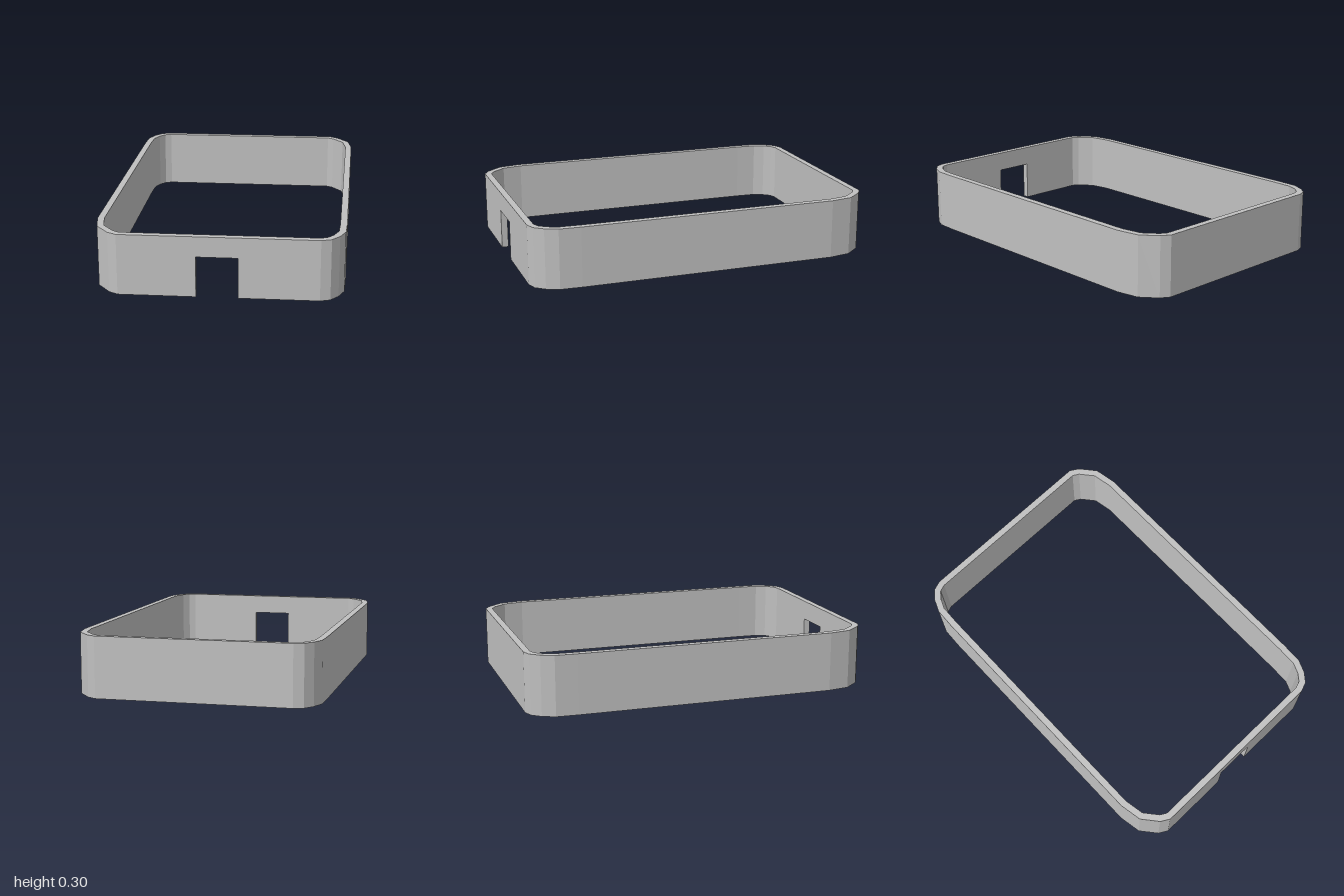
import * as THREE from 'three';

const HEIGHT = 0.3, NOTCH = 0.2, WALL = 0.033;

// Inward offset of an open path of [x, z] points, mitred at the bends
function inset(path, d) {
  const normals = path.slice(1).map(([x, z], i) => {
    const dx = x - path[i][0], dz = z - path[i][1], l = Math.hypot(dx, dz);
    return [-dz / l, dx / l];
  });
  return path.map(([x, z], i) => {
    const a = normals[Math.max(i - 1, 0)], b = normals[Math.min(i, normals.length - 1)];
    const k = d / (1 + a[0] * b[0] + a[1] * b[1]);
    return [x + (a[0] + b[0]) * k, z + (a[1] + b[1]) * k];
  });
}

// Upright wall following a path, from y0 to y1
function wall(name, path, y0, y1, material) {
  const outline = [...path, ...inset(path, WALL).reverse()];
  const shape = new THREE.Shape(outline.map(([x, z]) => new THREE.Vector2(x, -z)));
  const geo = new THREE.ExtrudeGeometry(shape, { depth: y1 - y0, bevelEnabled: false });
  geo.rotateX(-Math.PI / 2).translate(0, y0, 0);
  const mesh = new THREE.Mesh(geo, material);
  mesh.name = name;
  return mesh;
}

export function createModel() {
  const group = new THREE.Group();
  group.name = 'rectangularFrame';
  const grey = new THREE.MeshStandardMaterial({ color: 0xc0c0c0 });
  grey.name = 'light grey';

  // Back and right rounded corners; the other two are their half-turn copies
  const half = [
    [-0.18, -0.85], [-0.12, -0.94], [-0.065, -0.98], [-0.01, -1], [0.04, -0.99],
    [0.86, -0.51], [0.885, -0.465], [0.9, -0.365], [0.86, -0.26],
  ];
  const turned = half.map(([x, z]) => [-x, -z]);
  const front = turned.slice(0, 5), left = turned.slice(5);

  // Notch edges on the short front wall
  const [p, q] = [front[4], left[0]];
  const onWall = (x) => [x, p[1] + (q[1] - p[1]) * (x - p[0]) / (q[0] - p[0])];
  const notchA = onWall(-0.37), notchB = onWall(-0.54);

  group.add(wall('frameWall', [notchB, ...left, ...half, ...front, notchA], 0, HEIGHT, grey));
  // Bridge over the notch
  group.add(wall('notchLintel', [notchA, notchB], NOTCH, HEIGHT, grey));
  return group;
}
